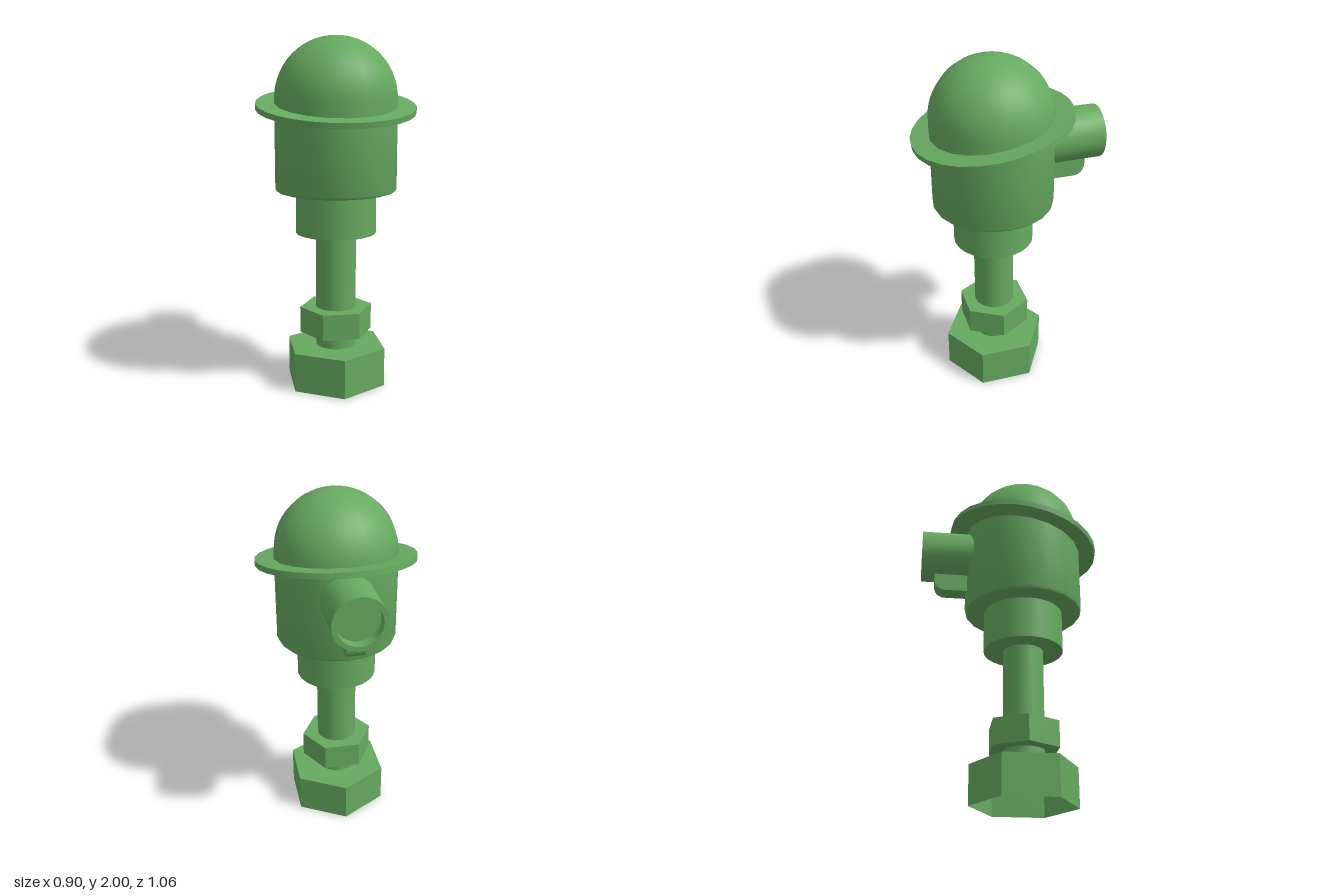
import * as THREE from 'three';
import { toCreasedNormals } from 'three/addons/utils/BufferGeometryUtils.js';

const AXIS_Z = 0.08;

export function createModel() {
  const model = new THREE.Group();
  const smooth = new THREE.MeshStandardMaterial({ color: 0x66aa60 });
  const faceted = new THREE.MeshStandardMaterial({ color: 0x66aa60, flatShading: true });
  const open = new THREE.MeshStandardMaterial({ color: 0x66aa60, flatShading: true, side: THREE.DoubleSide });

  function add(name, geometry, material, y = 0, z = AXIS_Z) {
    const mesh = new THREE.Mesh(geometry, material);
    mesh.name = name;
    mesh.position.set(0, y, z);
    model.add(mesh);
    return mesh;
  }

  // Upright cylinder between two heights
  function column(name, radius, y0, y1, sides, material, turn = 0) {
    const geometry = new THREE.CylinderGeometry(radius, radius, y1 - y0, sides, 1, false, turn);
    return add(name, geometry, material, (y0 + y1) / 2);
  }

  function lathe(points, sides) {
    const profile = points.map(([r, y]) => new THREE.Vector2(r, y));
    return toCreasedNormals(new THREE.LatheGeometry(profile, sides), 0.6);
  }

  // Hexagonal foot, hollow underneath
  add('footWall', new THREE.CylinderGeometry(0.3, 0.3, 0.225, 6, 1, true), open, 0.1125);
  const footTop = new THREE.CircleGeometry(0.3, 6, Math.PI / 6);
  footTop.rotateX(-Math.PI / 2);
  add('footTop', footTop, open, 0.225);

  // Stem, lock nut and collar
  column('stem', 0.116, 0.12, 0.92, 24, smooth);
  column('lockNut', 0.21, 0.305, 0.455, 6, faceted, Math.PI / 6);
  column('collar', 0.23, 0.895, 1.15, 24, smooth);

  // Body with a bevelled bottom edge and a domed top
  const bodyProfile = [[0, 1.135], [0.325, 1.135], [0.339, 1.141], [0.345, 1.155]];
  const domeSteps = 14;
  for (let i = 0; i <= domeSteps; i++) {
    const a = (i / domeSteps) * Math.PI / 2;
    bodyProfile.push([i === domeSteps ? 0 : 0.345 * Math.cos(a), 1.655 + 0.345 * Math.sin(a)]);
  }
  add('domedBody', lathe(bodyProfile, 20), smooth);

  // Tilted brim, higher at the back
  const brim = column('brim', 0.45, 1.596, 1.628, 28, smooth);
  brim.rotation.x = THREE.MathUtils.degToRad(10);

  // Rear spout with a recessed end
  const spout = lathe([[0, 0], [0.15, 0], [0.15, 0.33], [0.122, 0.33], [0.122, 0.27], [0, 0.27]], 24);
  spout.rotateX(-Math.PI / 2);
  add('spout', spout, smooth, 1.495, -0.2);

  // Bracket under the spout, rounded at its lower outer corner
  const width = 0.1;
  const side = new THREE.Shape();
  side.moveTo(0.2, 1.25);
  side.lineTo(0.385, 1.25);
  side.absarc(0.385, 1.315, 0.065, -Math.PI / 2, 0, false);
  side.lineTo(0.45, 1.38);
  side.lineTo(0.2, 1.38);
  side.closePath();
  const bracket = new THREE.ExtrudeGeometry(side, { depth: width, bevelEnabled: false, curveSegments: 6 });
  bracket.translate(0, 0, -width / 2);
  bracket.rotateY(Math.PI / 2);
  add('spoutBracket', toCreasedNormals(bracket, 0.6), smooth, 0, 0);

  return model;
}
